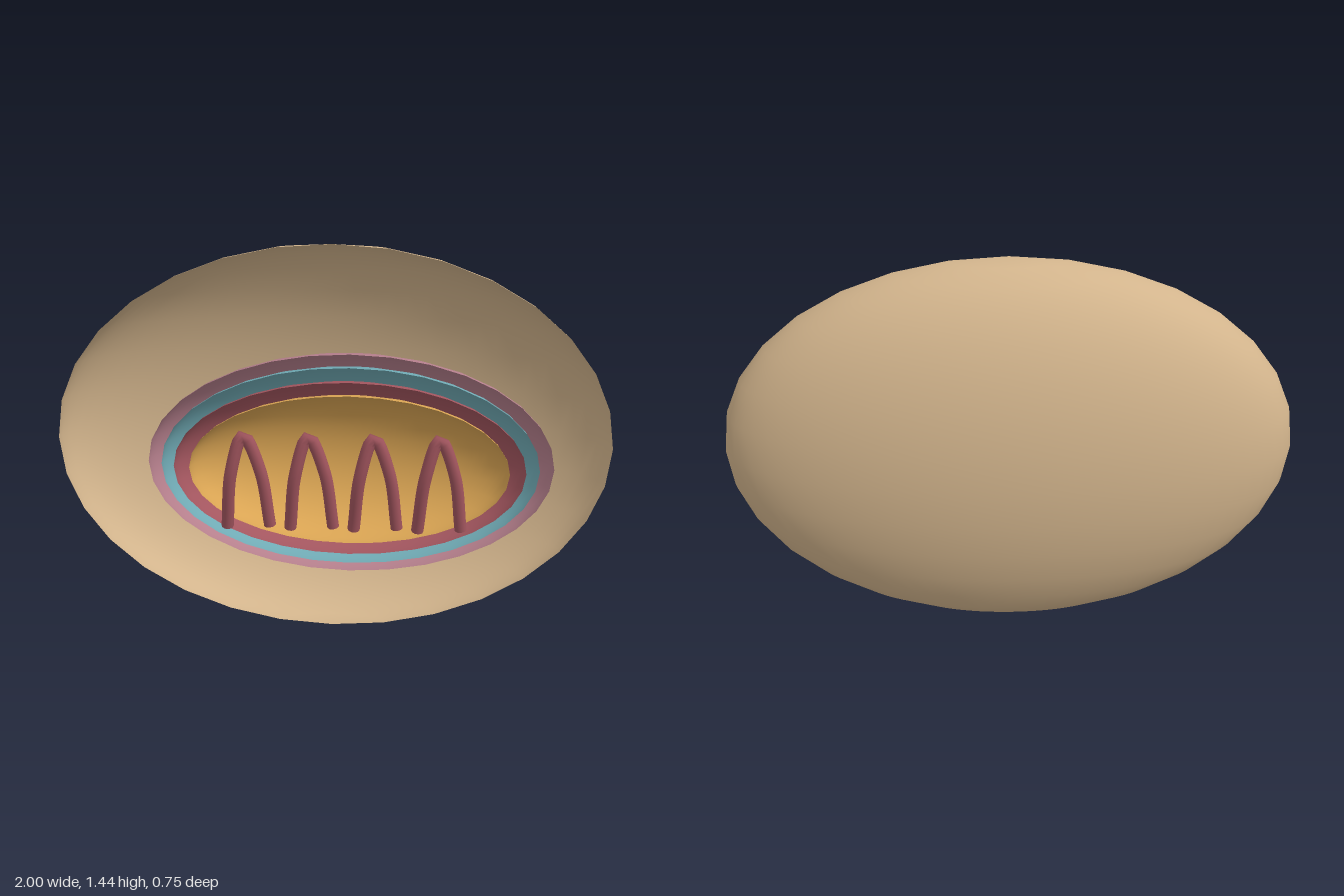
import * as THREE from 'three';

const mat = (name, color) =>
  new THREE.MeshStandardMaterial({ name, color, side: THREE.DoubleSide });

export function createModel() {
  const group = new THREE.Group();
  const tan = mat('tan', 0xd2b48c);
  const pink = mat('pink', 0xb57f8c);
  const teal = mat('teal', 0x70aab4);
  const rose = mat('rose', 0xa3565f);
  const gold = mat('gold', 0xd9a453);

  // Open half-ellipsoid bowls, hollow towards +z
  const halfSphere = new THREE.SphereGeometry(1, 32, 16, Math.PI, Math.PI);
  const bowl = (name, material, x, rimZ, rx, ry, depth) => {
    const mesh = new THREE.Mesh(halfSphere, material);
    mesh.name = name;
    mesh.position.set(x, 0.722, rimZ);
    mesh.scale.set(rx, ry, depth);
    group.add(mesh);
  };
  bowl('outerShell', tan, 0, -0.042, 1, 0.718, 0.335);

  // Nested bowls, each rim a little further forward
  bowl('pinkBowl', pink, 0.078, 0.2, 0.695, 0.39, 0.28);
  bowl('tealBowl', teal, 0.078, 0.225, 0.645, 0.35, 0.255);
  bowl('roseBowl', rose, 0.078, 0.25, 0.598, 0.306, 0.23);
  bowl('goldBowl', gold, 0.078, 0.26, 0.543, 0.262, 0.2);

  // Row of leaning hairpin folds in front of the bowls
  const path = new THREE.CatmullRomCurve3([
    new THREE.Vector3(-0.068, 0.525, 0.29),
    new THREE.Vector3(-0.043, 0.74, 0.346),
    new THREE.Vector3(0, 0.868, 0.349),
    new THREE.Vector3(0.052, 0.74, 0.326),
    new THREE.Vector3(0.078, 0.532, 0.287),
  ]);
  const foldGeometry = new THREE.TubeGeometry(path, 32, 0.021, 10, false);
  for (let i = 0; i < 4; i++) {
    const fold = new THREE.Mesh(foldGeometry, rose);
    fold.name = `fold${i + 1}`;
    fold.position.x = -0.265 + i * 0.216;
    group.add(fold);
  }
  return group;
}
